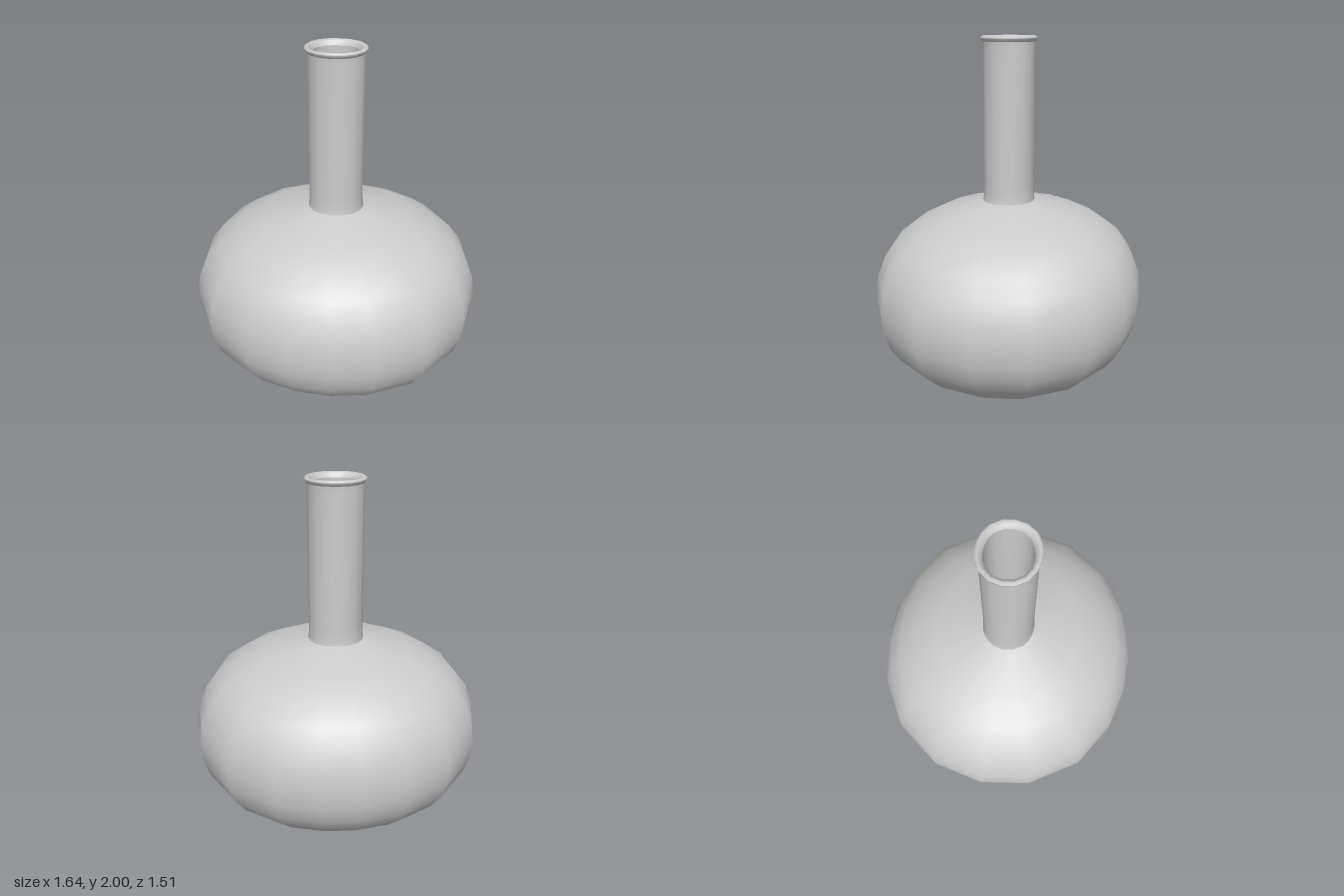
import * as THREE from 'three';

// Slightly uneven 18-sided plan of the body at its widest, as [x, z]
const PLAN = [
  [0.82, 0], [0.77, -0.29], [0.59, -0.56], [0.34, -0.71], [0.11, -0.76], [-0.11, -0.76],
  [-0.34, -0.71], [-0.58, -0.57], [-0.765, -0.315], [-0.825, -0.03], [-0.78, 0.26], [-0.61, 0.535],
  [-0.365, 0.69], [-0.135, 0.75], [0.08, 0.755], [0.32, 0.705], [0.575, 0.565], [0.765, 0.3],
];
const WIDTH = 0.82;

// Loft the plan through [half width, height] rings, smooth within one part
function loft(name, profile) {
  const n = PLAN.length, positions = [], index = [];
  for (const [r, y] of profile)
    for (const [x, z] of PLAN) positions.push(x * r / WIDTH, y, z * r / WIDTH);
  for (let j = 0; j < profile.length - 1; j++)
    for (let i = 0; i < n; i++) {
      const a = j * n + i, b = j * n + (i + 1) % n;
      index.push(a, b, b + n, a, b + n, a + n);
    }
  const geometry = new THREE.BufferGeometry();
  geometry.setAttribute('position', new THREE.Float32BufferAttribute(positions, 3));
  geometry.setIndex(index);
  geometry.computeVertexNormals();
  const material = new THREE.MeshStandardMaterial({ color: 0xcccccc, side: THREE.DoubleSide });
  const mesh = new THREE.Mesh(geometry, material);
  mesh.name = name;
  return mesh;
}

export function createModel() {
  const group = new THREE.Group();
  group.name = 'vase';

  // Squat round body, open under the neck
  group.add(loft('body', [
    [0.002, 0], [0.15, 0.008], [0.29, 0.035], [0.42, 0.07], [0.53, 0.12], [0.635, 0.19],
    [0.72, 0.27], [0.78, 0.36], [0.812, 0.46], [0.82, 0.57], [0.805, 0.68], [0.76, 0.79],
    [0.69, 0.88], [0.58, 0.96], [0.43, 1.03], [0.157, 1.1],
  ]));

  // Tall neck with a small flare at the foot
  group.add(loft('neck', [
    [0.157, 1.1], [0.152, 1.13], [0.15, 1.2], [0.15, 1.5], [0.15, 1.94], [0.152, 1.97],
  ]));

  // Rolled lip
  group.add(loft('lip', [
    [0.152, 1.97], [0.164, 1.984], [0.164, 1.993], [0.152, 2], [0.136, 1.992], [0.125, 1.97],
  ]));

  // Inner wall of the neck, meeting the body at the shoulder
  group.add(loft('neckLining', [[0.125, 1.97], [0.125, 1.15], [0.157, 1.1]]));

  return group;
}
